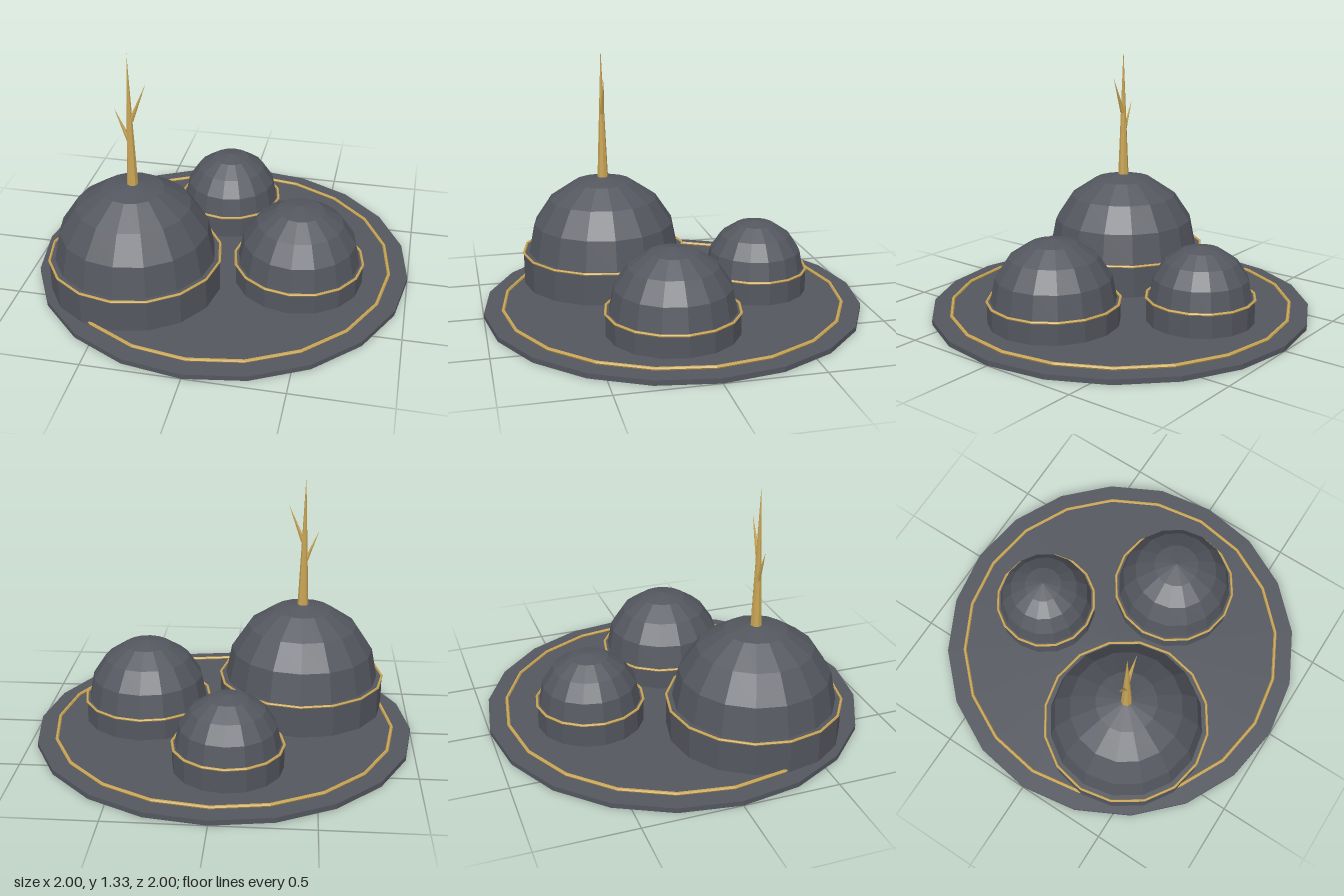
import * as THREE from 'three';

export function createModel() {
  const group = new THREE.Group();
  const slate = new THREE.MeshStandardMaterial({ color: 0x54575f, flatShading: true });
  slate.name = 'slate grey';
  const gold = new THREE.MeshStandardMaterial({ color: 0xc9a555, flatShading: true });
  gold.name = 'gold';

  const add = (parent, name, geometry, material, x = 0, y = 0, z = 0) => {
    const mesh = new THREE.Mesh(geometry, material);
    mesh.name = name;
    mesh.position.set(x, y, z);
    parent.add(mesh);
    return mesh;
  };
  const ring = (radius, tube, sides) =>
    new THREE.TorusGeometry(radius, tube, 6, sides).rotateX(Math.PI / 2);

  // Round base plate with its inlaid rim
  add(group, 'basePlate', new THREE.CylinderGeometry(1, 1, 0.026, 20), slate, 0, 0.013, 0);
  add(group, 'baseRing', ring(0.9, 0.009, 20), gold, 0, 0.035, 0);

  // Domes: drum wall, gold band and hemispherical roof
  const domes = [
    { name: 'largeDome', x: -0.41, z: 0.3, wall: 0.45, roof: 0.42, h: 0.2 },
    { name: 'mediumDome', x: 0.425, z: 0.095, wall: 0.34, roof: 0.322, h: 0.14 },
    { name: 'smallDome', x: -0.055, z: -0.475, wall: 0.28, roof: 0.265, h: 0.15 },
  ];
  for (const d of domes) {
    const dome = new THREE.Group();
    dome.name = d.name;
    dome.position.set(d.x, 0, d.z);
    add(dome, 'drum', new THREE.CylinderGeometry(d.wall, d.wall, d.h - 0.02, 16), slate, 0, d.h / 2 + 0.01, 0);
    add(dome, 'band', ring(d.wall, 0.007, 16), gold, 0, d.h, 0);
    add(dome, 'roof', new THREE.SphereGeometry(d.roof, 16, 4, 0, Math.PI * 2, 0, Math.PI / 2), slate, 0, d.h, 0);
    group.add(dome);
  }

  // Bare tree spire on the large dome: tapering trunk and two thorns
  const spire = new THREE.Group();
  spire.name = 'spire';
  spire.position.set(-0.41, 0, 0.3);
  const thorn = (name, from, to, radius, sides) => {
    const a = new THREE.Vector3(...from);
    const dir = new THREE.Vector3(...to).sub(a);
    const length = dir.length();
    const mesh = add(spire, name,
      new THREE.ConeGeometry(radius, length, sides).translate(0, length / 2, 0), gold, ...from);
    mesh.quaternion.setFromUnitVectors(new THREE.Vector3(0, 1, 0), dir.normalize());
  };
  thorn('trunk', [0, 0.6, 0], [0, 1.325, 0], 0.03, 8);
  thorn('leftBranch', [0.008, 0.97, 0], [0.087, 1.17, 0], 0.013, 6);
  thorn('rightBranch', [-0.008, 0.86, 0], [-0.077, 1.03, 0], 0.012, 6);
  group.add(spire);

  return group;
}
